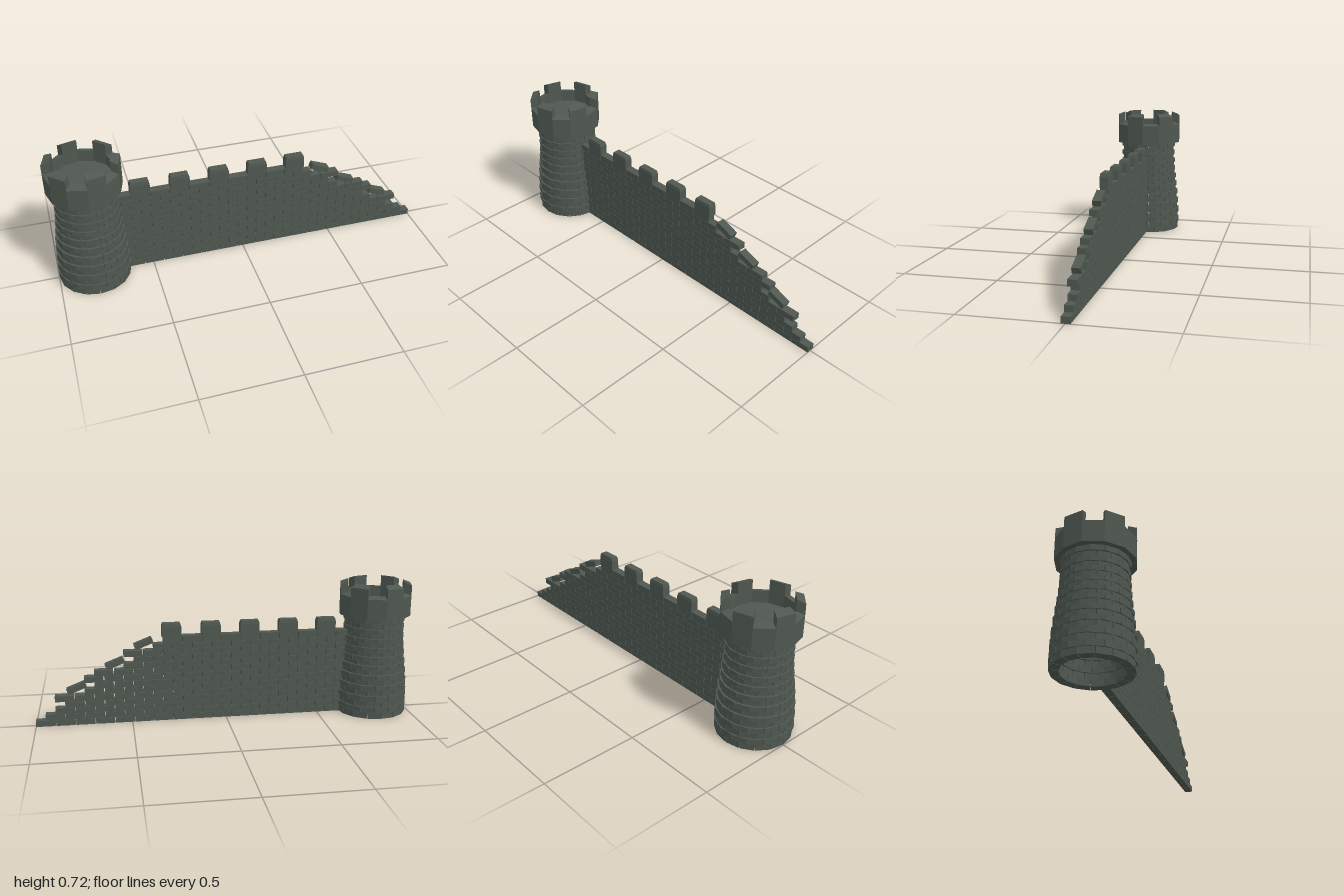
import * as THREE from 'three';
import { mergeGeometries } from 'three/addons/utils/BufferGeometryUtils.js';

const stone = new THREE.MeshStandardMaterial({ color: 0x4f5850 });
stone.name = 'dark stone';

// Box bent around the y axis: angles a0..a1, radii r0..r1, top may slope from outside to inside
function wedge(a0, a1, r0, r1, y0, yOut, yIn = yOut) {
  const g = new THREE.BoxGeometry(1, 1, 1);
  const p = g.attributes.position;
  for (let i = 0; i < p.count; i++) {
    const outer = p.getZ(i) > 0;
    const a = p.getX(i) > 0 ? a1 : a0;
    const r = outer ? r1 : r0;
    const y = p.getY(i) < 0 ? y0 : outer ? yOut : yIn;
    p.setXYZ(i, r * Math.sin(a), y, r * Math.cos(a));
  }
  g.computeVertexNormals();
  return g;
}

// Block between x0..x1 and y0..y1, with an optionally narrowed top
function block(x0, x1, y0, y1, depth, topX = 1, topZ = 1) {
  const g = new THREE.BoxGeometry(x1 - x0, y1 - y0, depth);
  const p = g.attributes.position;
  for (let i = 0; i < p.count; i++) {
    if (p.getY(i) > 0) {
      p.setX(i, p.getX(i) * topX);
      p.setZ(i, p.getZ(i) * topZ);
    }
  }
  g.computeVertexNormals();
  return g.translate((x0 + x1) / 2, (y0 + y1) / 2, 0);
}

function part(name, geometries) {
  const mesh = new THREE.Mesh(mergeGeometries(geometries), stone);
  mesh.name = name;
  return mesh;
}

function createTower() {
  const tower = new THREE.Group();
  tower.name = 'tower';

  // Hollow shaft: brick rings, every second one standing proud
  const radii = [0.188, 0.192, 0.187, 0.191, 0.184, 0.188, 0.179, 0.183, 0.173, 0.177,
    0.168, 0.171, 0.164, 0.166, 0.16, 0.163, 0.157, 0.162, 0.157, 0.163];
  const levels = [0, 0.033, 0.065, 0.095, 0.126, 0.156, 0.183, 0.211, 0.238, 0.264,
    0.289, 0.313, 0.337, 0.361, 0.385, 0.409, 0.433, 0.458, 0.483, 0.511, 0.539];
  const bricks = [];
  const count = 16;
  const step = (Math.PI * 2) / count;
  radii.forEach((r, row) => {
    for (let i = 0; i < count; i++) {
      const a = (i + (row % 2) / 2) * step;
      bricks.push(wedge(a + 0.009, a + step - 0.009, r - 0.043, r,
        levels[row], levels[row + 1] - 0.001));
    }
  });
  tower.add(part('shaft', bricks));

  // Twelve-sided parapet, alternating merlons and gaps
  const parapet = [];
  const side = Math.PI / 6;
  for (let i = 0; i < 12; i++) {
    const [yOut, yIn] = i % 2 ? [0.648, 0.66] : [0.701, 0.717];
    parapet.push(wedge(i * side, (i + 1) * side, 0.15, 0.191, 0.538, yOut, yIn));
  }
  tower.add(part('parapet', parapet));

  // Platform inside the parapet
  const floor = new THREE.CylinderGeometry(0.151, 0.151, 0.06, 12).translate(0, 0.569, 0);
  tower.add(part('platform', [floor]));

  tower.position.x = -0.81;
  return tower;
}

function createWall() {
  const wall = new THREE.Group();
  wall.name = 'wall';
  const depth = 0.043, height = 0.0325, pitch = 0.103, start = -0.665;

  // Running-bond courses; each loses some whole bricks at its broken end
  const lost = [0, 0, 1, 1, 1, 2, 3, 2, 3, 4, 5, 4, 6, 6];
  const bricks = [];
  lost.forEach((n, row) => {
    let x1 = 1 - (n + (row % 2) / 2) * pitch;
    while (x1 > start + 0.01) {
      const x0 = Math.max(start, x1 - pitch + 0.004);
      bricks.push(block(x0, x1, row * height, (row + 1) * height - 0.0012, depth));
      x1 -= pitch;
    }
  });
  wall.add(part('courses', bricks));

  // Thin coping and the merlons on it
  wall.add(part('coping', [block(start, 0.335, 0.4535, 0.459, depth)]));
  const merlons = [];
  for (let i = 0; i < 5; i++) {
    const x = -0.54 + i * 0.2065;
    merlons.push(block(x - 0.051, x + 0.051, 0.456, 0.508, depth));
    merlons.push(block(x - 0.051, x + 0.051, 0.508, 0.526, depth, 0.9, 0.88));
  }
  wall.add(part('merlons', merlons));

  // Loose bricks slipping down the broken slope
  const loose = [[0.432, 0.424], [0.583, 0.323], [0.785, 0.199]].map(([x, y]) =>
    new THREE.BoxGeometry(0.099, 0.03, depth).rotateZ(-0.37).translate(x, y, 0));
  wall.add(part('looseBricks', loose));

  wall.position.z = -0.002;
  return wall;
}

export function createModel() {
  const model = new THREE.Group();
  model.name = 'ruinedCastleWall';
  model.add(createTower(), createWall());
  return model;
}
